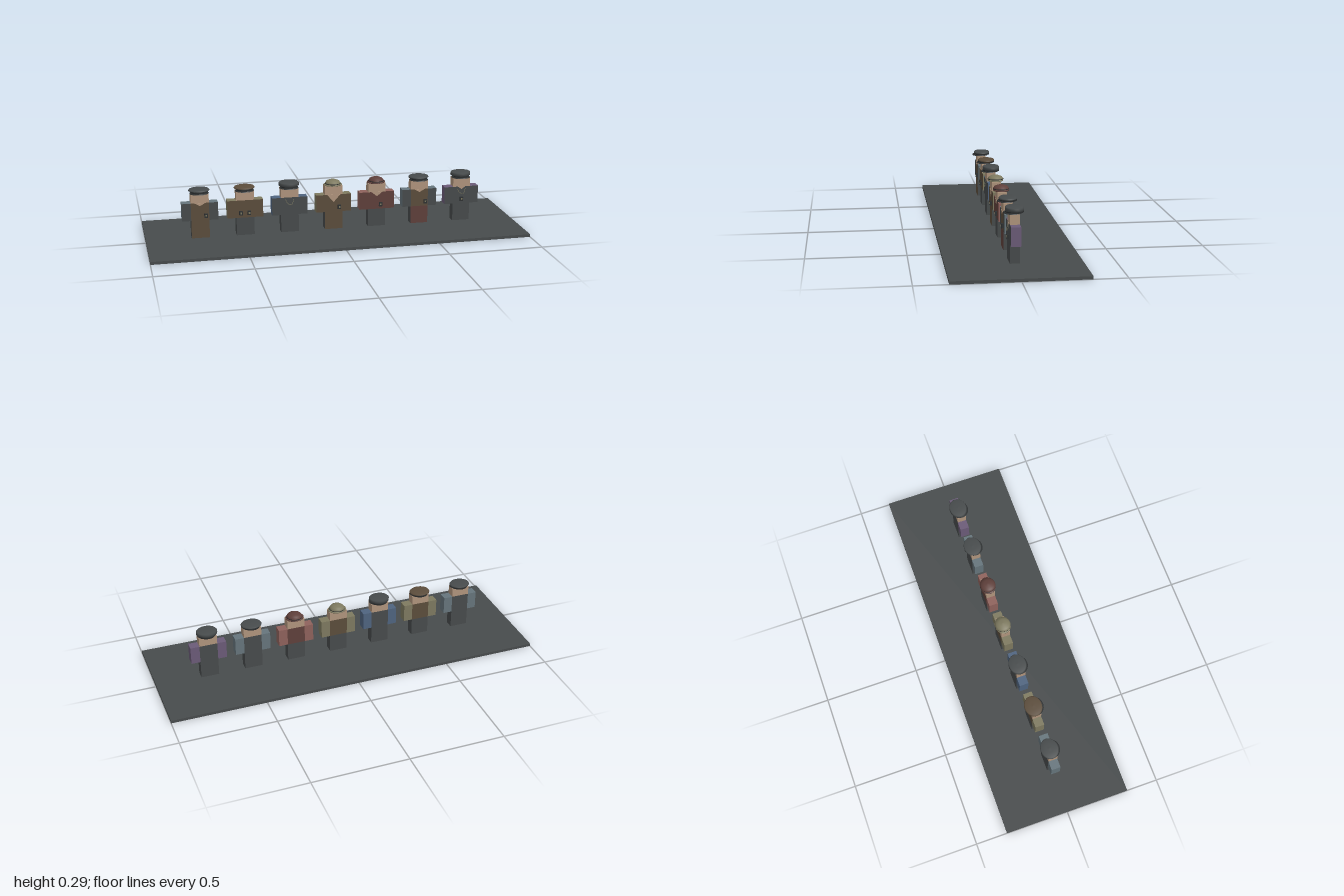
import * as THREE from 'three';

const mat = (name, color) => {
  const m = new THREE.MeshStandardMaterial({ color });
  m.name = name;
  return m;
};

export function createModel() {
  const charcoal = mat('charcoal', 0x474b4c), brown = mat('brown', 0x5c4d3c), red = mat('dark red', 0x5f403b);
  const skin = mat('skin', 0xb0957d), slate = mat('slate', 0x66757c), khaki = mat('khaki', 0x7e7a60);
  const blue = mat('blue', 0x4f6480), rose = mat('rose', 0x8f625c), purple = mat('purple', 0x6b5b78);
  const dark = mat('near black', 0x2e3132);

  const add = (parent, name, geometry, material, x = 0, y = 0, z = 0) => {
    const mesh = new THREE.Mesh(geometry, material);
    mesh.name = name;
    mesh.position.set(x, y, z);
    parent.add(mesh);
    return mesh;
  };
  // Block with its own material on the front face
  const block = (parent, name, w, h, x, y, body, front = body) =>
    add(parent, name, new THREE.BoxGeometry(w, h, 0.048), [body, body, body, body, front, body], x, y, 0);

  const lathe = (points) => new THREE.LatheGeometry(points.map(([r, y]) => new THREE.Vector2(r, y)), 28);

  // Peaked cap: band, flared crown and front visor
  const cap = (parent, material, height) => {
    const hat = new THREE.Group();
    hat.name = 'cap';
    const w = 0.057;
    add(hat, 'crown', lathe([[0, 0.004], [0.043, 0.004], [0.044, 0.01], [w - 0.006, 0.012], [w - 0.006, height - 0.007],
      [w - 0.01, height - 0.002], [0.02, height - 0.001], [0, height]]), material, 0, 0, -0.004).scale.set(1.08, 1, 0.9);
    add(hat, 'band', new THREE.CylinderGeometry(0.046, 0.045, 0.008, 28), dark, 0, 0.006, -0.004);
    add(hat, 'visor', new THREE.CylinderGeometry(0.043, 0.046, 0.004, 28), dark, 0, 0.001, 0.005).scale.set(1.1, 1, 1);
    hat.position.y = 0.258;
    parent.add(hat);
  };

  // Domed hat with a narrow brim
  const dome = (parent, material) => {
    const hat = new THREE.Group();
    hat.name = 'domedHat';
    add(hat, 'bowl', lathe([[0.042, 0], [0.041, 0.012], [0.034, 0.021], [0.02, 0.027], [0, 0.029]]), material);
    add(hat, 'brim', lathe([[0, -0.001], [0.049, 0], [0.049, 0.004], [0.04, 0.007]]), material).scale.z = 0.85;
    add(hat, 'hatBand', new THREE.CylinderGeometry(0.0425, 0.0425, 0.004, 28, 1, true), dark, 0, 0.01, 0);
    hat.position.y = 0.257;
    parent.add(hat);
  };

  // Open neckline plate
  const neckline = (parent, w, h) => {
    const s = new THREE.Shape();
    s.moveTo(-w, 0);
    s.lineTo(0, -h);
    s.lineTo(w, 0);
    s.closePath();
    add(parent, 'neckline', new THREE.ExtrudeGeometry(s, { depth: 0.003, bevelEnabled: false }), skin, 0, 0.208, 0.0235);
  };

  // Cord hanging across the chest
  const cord = (parent, material) => {
    const path = new THREE.CatmullRomCurve3([[-0.024, 0.199, 0.025], [-0.012, 0.176, 0.031], [0.008, 0.17, 0.033],
      [0.022, 0.198, 0.025]].map((p) => new THREE.Vector3(...p)));
    add(parent, 'cord', new THREE.TubeGeometry(path, 16, 0.0013, 6), material);
  };

  // One entry per figure, from right to left of the model
  const people = [
    { arms: slate, sleeve: charcoal, torso: charcoal, chest: brown, legs: brown, hat: charcoal, h: 0.022, neck: [0.028, 0.016], kit: [0.03] },
    { arms: khaki, sleeve: brown, torso: brown, chest: brown, legs: charcoal, hat: brown, h: 0.022, kit: [-0.024, 0.02] },
    { arms: blue, sleeve: charcoal, torso: charcoal, chest: charcoal, legs: charcoal, hat: charcoal, h: 0.031, cord: khaki, kit: [] },
    { arms: khaki, sleeve: brown, torso: brown, chest: brown, legs: brown, hat: khaki, dome: true, neck: [0.036, 0.04], kit: [0.03] },
    { arms: rose, sleeve: red, torso: red, chest: red, legs: charcoal, hat: red, dome: true, neck: [0.03, 0.024], kit: [0.02] },
    { arms: slate, sleeve: charcoal, torso: charcoal, chest: brown, legs: red, hat: charcoal, h: 0.022, neck: [0.028, 0.016], kit: [0.032] },
    { arms: purple, sleeve: charcoal, torso: charcoal, chest: charcoal, legs: charcoal, hat: charcoal, h: 0.031, cord: khaki, neck: [0.02, 0.014], kit: [0] },
  ];

  const model = new THREE.Group();
  model.name = 'figureLineup';
  add(model, 'base', new THREE.BoxGeometry(2, 0.015, 0.667), charcoal, 0, 0.0075, 0);

  people.forEach((p, i) => {
    const figure = new THREE.Group();
    figure.name = 'figure' + (i + 1);
    figure.position.x = (i - 3) * 0.238;
    block(figure, 'legs', 0.095, 0.096, 0, 0.065, charcoal, p.legs);
    block(figure, 'torso', 0.095, 0.095, 0, 0.1605, p.torso, p.chest);
    for (const side of [-1, 1])
      block(figure, side > 0 ? 'leftArm' : 'rightArm', 0.0475, 0.095, side * 0.07125, 0.1605, p.arms, p.sleeve);
    block(figure, 'head', 0.095, 0.048, 0, 0.232, skin);
    if (p.dome) dome(figure, p.hat);
    else cap(figure, p.hat, p.h);
    if (p.neck) neckline(figure, ...p.neck);
    if (p.cord) cord(figure, p.cord);
    // Belt pouches with a clasp
    for (const x of p.kit) {
      add(figure, 'pouch', new THREE.BoxGeometry(0.018, 0.022, 0.01), dark, x, 0.139, 0.029);
      add(figure, 'clasp', new THREE.BoxGeometry(0.008, 0.009, 0.003), khaki, x, 0.14, 0.0345);
    }
    model.add(figure);
  });
  return model;
}
